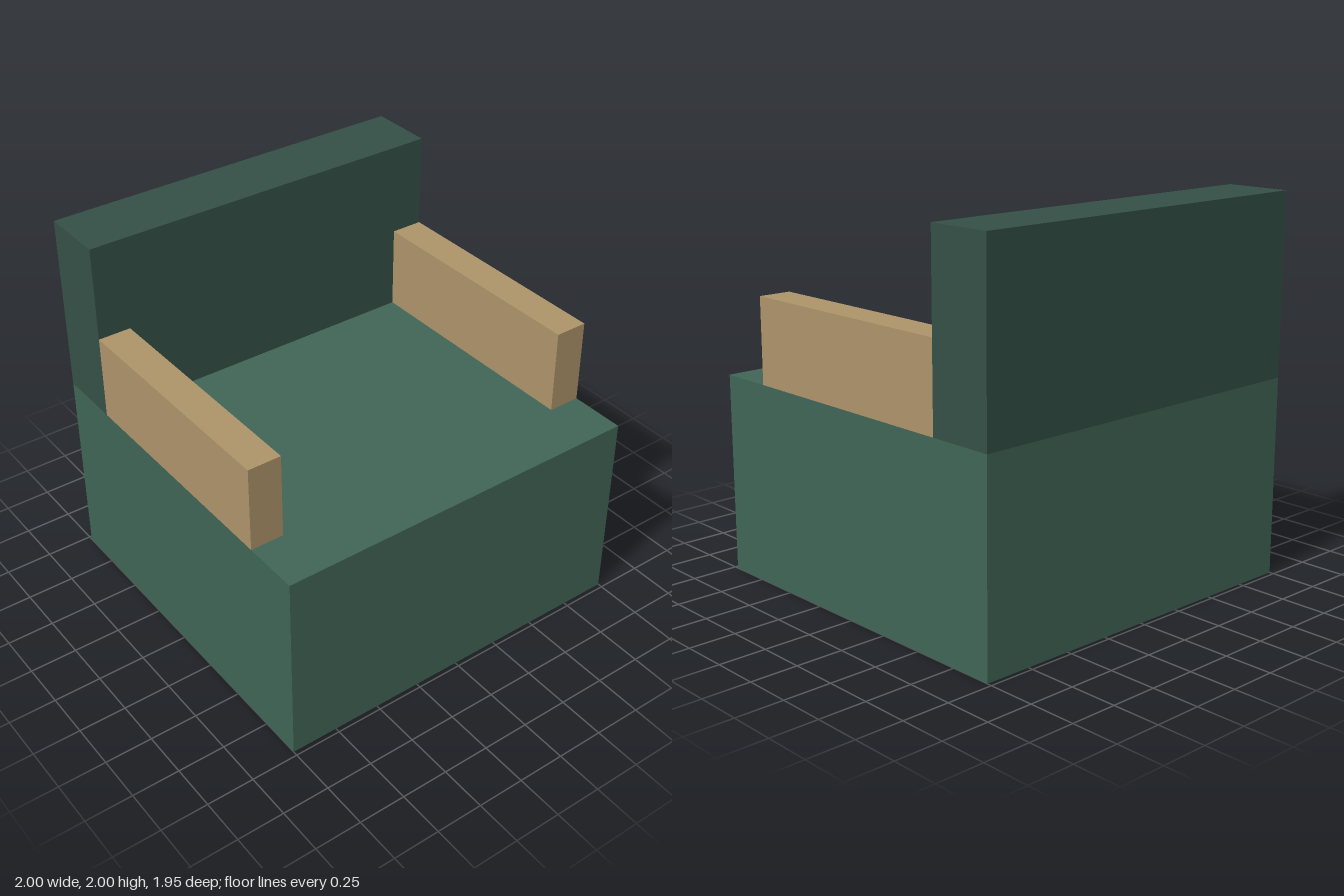
import * as THREE from 'three';

const green = new THREE.MeshStandardMaterial({ color: 0x406556 });
const darkGreen = new THREE.MeshStandardMaterial({ color: 0x345046 });
const wood = new THREE.MeshStandardMaterial({ color: 0xad936a });

// Box given by its minimum and maximum corners
function block(name, material, min, max) {
  const size = max.map((v, i) => v - min[i]);
  const mesh = new THREE.Mesh(new THREE.BoxGeometry(...size), material);
  mesh.position.set(...max.map((v, i) => (v + min[i]) / 2));
  mesh.name = name;
  return mesh;
}

export function createModel() {
  const armchair = new THREE.Group();
  armchair.name = 'armchair';

  // Solid seat block and upright backrest
  armchair.add(block('seat', green, [-1, 0, -0.975], [1, 1.05, 0.975]));
  armchair.add(block('backrest', darkGreen, [-1, 1.05, -0.975], [1, 2, -0.625]));

  // Wooden armrests, mirrored, running forward from the backrest
  for (const [name, side] of [['leftArmrest', 1], ['rightArmrest', -1]]) {
    const arm = block(name, wood, [0.825, 1.05, -0.625], [1, 1.5, 0.675]);
    arm.position.x *= side;
    armchair.add(arm);
  }
  return armchair;
}
